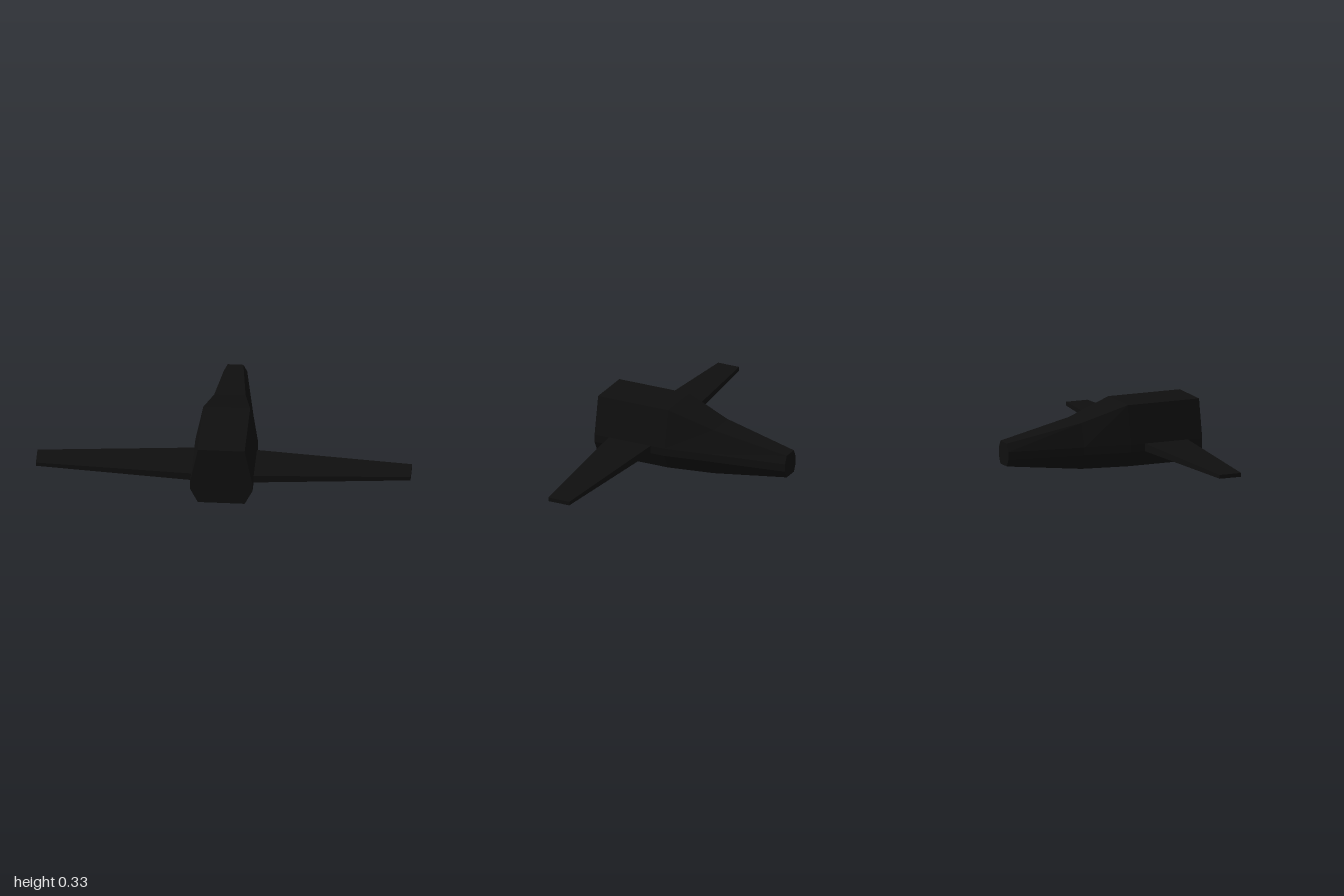
import * as THREE from 'three';

// Flat-shaded solid through matching rings; each ring runs counter-clockwise
// as seen from the side of the first ring.
function loft(rings) {
  const pos = [];
  const tri = (a, b, c) => pos.push(...a, ...b, ...c);
  const n = rings[0].length;
  for (let r = 0; r < rings.length - 1; r++) {
    const a = rings[r], b = rings[r + 1];
    for (let i = 0; i < n; i++) {
      const j = (i + 1) % n;
      tri(a[i], b[i], b[j]);
      tri(a[i], b[j], a[j]);
    }
  }
  const first = rings[0], last = rings[rings.length - 1];
  for (let i = 1; i < n - 1; i++) {
    tri(first[0], first[i], first[i + 1]);
    tri(last[0], last[i + 1], last[i]);
  }
  const geometry = new THREE.BufferGeometry();
  geometry.setAttribute('position', new THREE.Float32BufferAttribute(pos, 3));
  geometry.computeVertexNormals();
  return geometry;
}

// Eight-sided body section: narrow top and bottom, short upright sides
const bodyRing = ({ z, bottom, top, flat, side }) => [
  [flat, bottom, z], [side, 0.083, z], [side, 0.125, z], [flat, top, z],
  [-flat, top, z], [-side, 0.125, z], [-side, 0.083, z], [-flat, bottom, z],
];

// Rectangular wing section
const wingRing = (x, halfThickness, halfChord) => {
  const y = 0.104, z = 0.333;
  return [
    [x, y - halfThickness, z - halfChord], [x, y + halfThickness, z - halfChord],
    [x, y + halfThickness, z + halfChord], [x, y - halfThickness, z + halfChord],
  ];
};

export function createModel() {
  const group = new THREE.Group();
  const black = new THREE.MeshStandardMaterial({ color: 0x0f0f0f });
  black.name = 'black';
  const add = (name, geometry) => {
    const mesh = new THREE.Mesh(geometry, black);
    mesh.name = name;
    group.add(mesh);
  };

  // Body, from blunt front to slim tail
  add('fuselage', loft([
    { z: 0.542, bottom: 0, top: 0.333, flat: 0.125, side: 0.167 },
    { z: 0.125, bottom: 0, top: 0.333, flat: 0.125, side: 0.167 },
    { z: -0.125, bottom: 0, top: 0.25, flat: 0.083, side: 0.125 },
    { z: -0.542, bottom: 0.042, top: 0.167, flat: 0.042, side: 0.0625 },
  ].map(bodyRing)));

  // Tapered wings
  const root = [0.021, 0.125], tip = [0.0104, 0.0625];
  add('leftWing', loft([wingRing(1, ...tip), wingRing(0.167, ...root)]));
  add('rightWing', loft([wingRing(-0.167, ...root), wingRing(-1, ...tip)]));

  return group;
}
